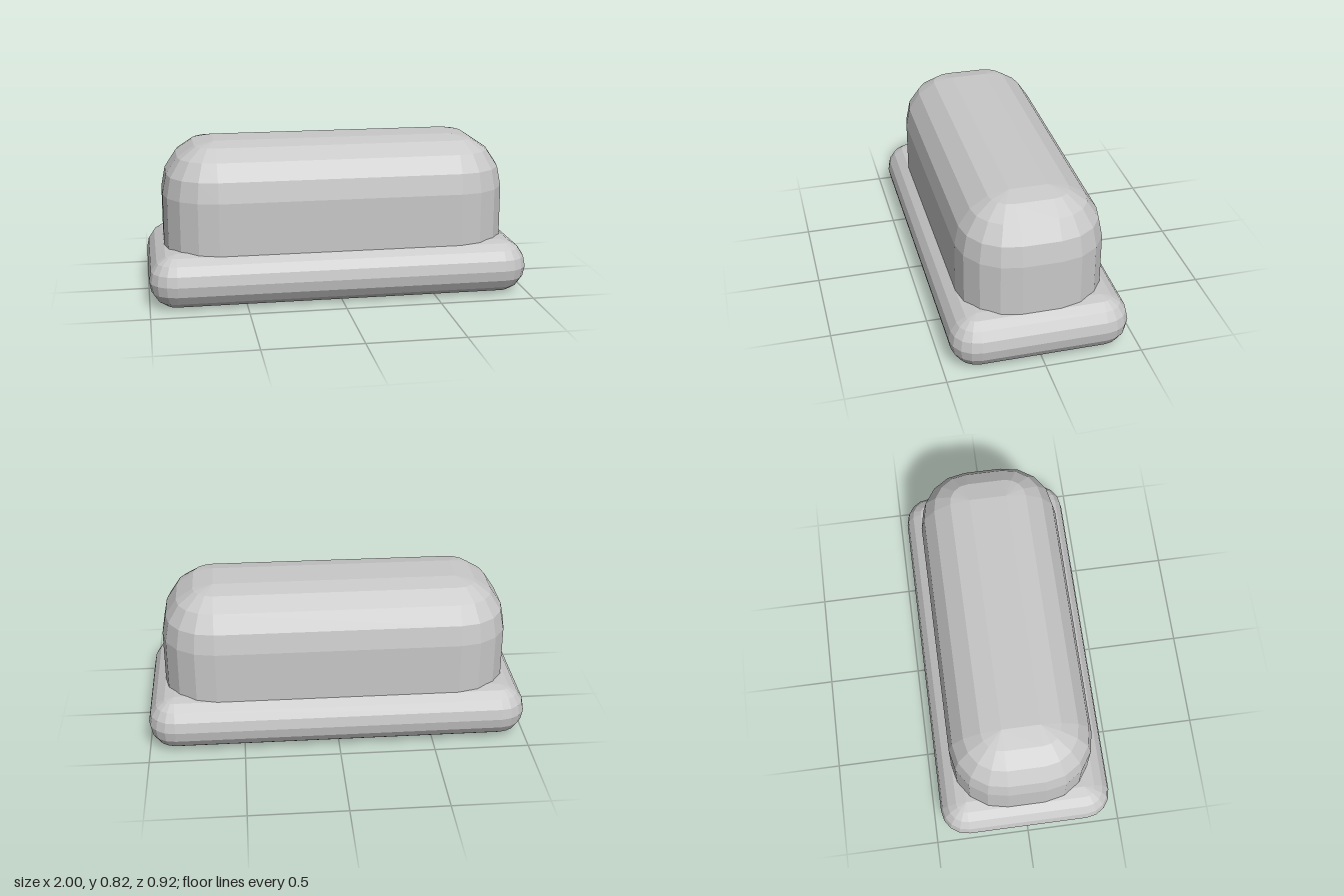
import * as THREE from 'three';

const STEPS = 4; // facets per rounded quarter turn

// One horizontal rounded-rectangle loop: core rectangle grown by radius r
function loop(coreX, coreZ, r, y) {
  const corners = [[1, 1], [-1, 1], [-1, -1], [1, -1]];
  return corners.flatMap(([sx, sz], q) =>
    Array.from({ length: STEPS + 1 }, (_, i) => {
      const a = (q + i / STEPS) * Math.PI / 2;
      return new THREE.Vector3(sx * coreX + r * Math.cos(a), y, sz * coreZ + r * Math.sin(a));
    }));
}

// Skins a stack of loops (bottom to top) and closes both ends
function skin(loops) {
  const pos = [];
  const tri = (a, b, c) => {
    const area = b.clone().sub(a).cross(c.clone().sub(a)).length();
    if (area > 1e-7) for (const p of [a, b, c]) pos.push(p.x, p.y, p.z);
  };
  const n = loops[0].length;
  const bottom = loops[0], top = loops[loops.length - 1];
  const bottomMid = new THREE.Vector3(0, bottom[0].y, 0);
  const topMid = new THREE.Vector3(0, top[0].y, 0);
  for (let j = 0; j < n; j++) {
    const k = (j + 1) % n;
    for (let i = 0; i < loops.length - 1; i++) {
      const lo = loops[i], hi = loops[i + 1];
      tri(lo[j], hi[j], hi[k]);
      tri(lo[j], hi[k], lo[k]);
    }
    tri(bottomMid, bottom[j], bottom[k]);
    tri(topMid, top[k], top[j]);
  }
  const geometry = new THREE.BufferGeometry();
  geometry.setAttribute('position', new THREE.Float32BufferAttribute(pos, 3));
  geometry.computeVertexNormals();
  return geometry;
}

// Loops of a rounded edge, from angle step "from" to "to" (STEPS = straight up)
function roundedLoops(halfX, halfZ, r, centreY, from, to) {
  const loops = [];
  for (let s = from; s <= to; s++) {
    const a = s / STEPS * Math.PI / 2;
    loops.push(loop(halfX - r, halfZ - r, r * Math.cos(a), centreY + r * Math.sin(a)));
  }
  return loops;
}

export function createModel() {
  const model = new THREE.Group();
  const grey = new THREE.MeshStandardMaterial({ color: 0xc8c8c8, flatShading: true });
  grey.name = 'light grey';

  const add = (name, loops) => {
    const mesh = new THREE.Mesh(skin(loops), grey);
    mesh.name = name;
    model.add(mesh);
  };

  // Pillow-shaped base with fully rounded sides
  add('base', roundedLoops(1, 0.459, 0.141, 0.141, -STEPS, STEPS));

  // Upright body with a domed top, sunk slightly into the base
  const r = 0.275, halfX = 0.912, halfZ = 0.373;
  add('body', [
    loop(halfX - r, halfZ - r, r, 0.2),
    ...roundedLoops(halfX, halfZ, r, 0.547, 0, STEPS),
  ]);

  return model;
}
